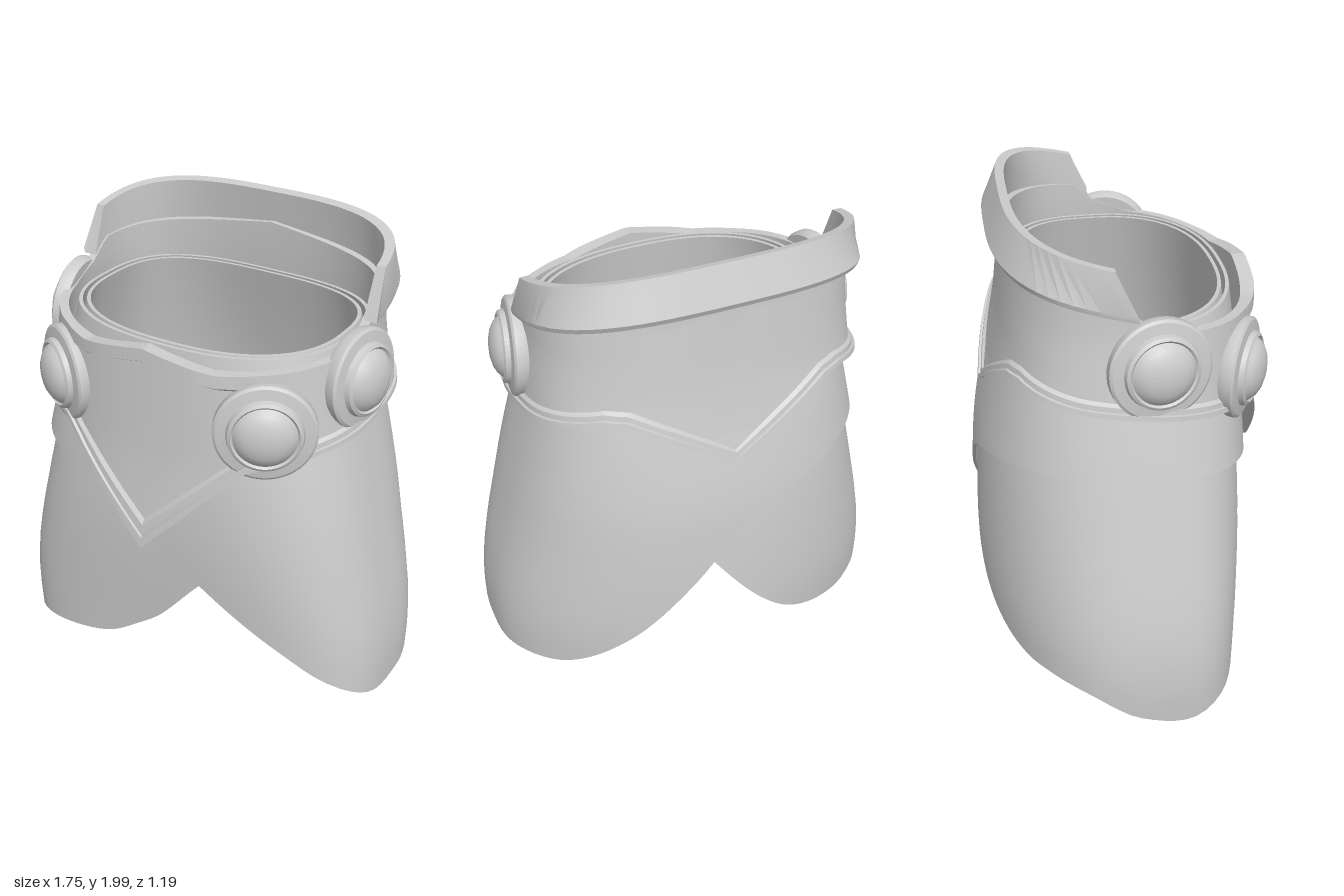
import * as THREE from 'three';
import { toCreasedNormals } from 'three/addons/utils/BufferGeometryUtils.js';

const material = new THREE.MeshStandardMaterial({ color: 0xcccccc, side: THREE.DoubleSide });
const RAD = Math.PI / 180;

// Lookup through [key, value] pairs, smooth or straight
function table(pairs, smooth = true) {
  const Kind = smooth ? THREE.CubicInterpolant : THREE.LinearInterpolant;
  const it = new Kind(pairs.map(p => p[0]), pairs.map(p => p[1]), 1);
  const lo = pairs[0][0], hi = pairs[pairs.length - 1][0];
  return k => it.evaluate(THREE.MathUtils.clamp(k, lo, hi))[0];
}

// Point on a rounded oval; angle in degrees from +x towards the front
function oval(deg, y, a, front, back, nFront, nBack) {
  const c = Math.cos(deg * RAD), s = Math.sin(deg * RAD);
  const n = s > 0 ? nFront : nBack, b = s > 0 ? front : back;
  const r = (Math.abs(c / a) ** n + Math.abs(s / b) ** n) ** (-1 / n);
  return [r * c, y, r * s];
}

// Skin closed cross-section loops placed round the body
function loft(name, section, from, to, steps, crease = 0.5) {
  const pos = [], index = [];
  let m = 0;
  for (let i = 0; i <= steps; i++) {
    const loop = section(from + (to - from) * i / steps);
    m = loop.length;
    loop.forEach(p => pos.push(...p));
  }
  for (let i = 0; i < steps; i++) for (let j = 0; j < m; j++) {
    const a = i * m + j, b = i * m + (j + 1) % m;
    index.push(a, a + m, b, b, a + m, b + m);
  }
  if (to - from < 360) {
    const e = steps * m;
    for (let j = 1; j < m - 1; j++) index.push(0, j, j + 1, e, e + j + 1, e + j);
  }
  const g = new THREE.BufferGeometry();
  g.setAttribute('position', new THREE.Float32BufferAttribute(pos, 3));
  g.setIndex(index);
  const mesh = new THREE.Mesh(toCreasedNormals(g, crease), material);
  mesh.name = name;
  return mesh;
}

// Skirt body: half width, front and back depth by height
const skirtA = table([[0, .86], [.2, .88], [.4, .87], [.6, .835], [.8, .79], [1, .745], [1.3, .67], [1.65, .58]]);
const skirtF = table([[0, .46], [.2, .47], [.4, .485], [.6, .5], [.8, .51], [1, .51], [1.2, .5], [1.65, .45]]);
const skirtB = table([[0, .55], [.2, .58], [.4, .6], [.6, .6], [.8, .59], [1, .57], [1.2, .53], [1.4, .48], [1.65, .41]]);

// Hem heights by angle of the two crossing wraps
const outerHem = table([[-14, .19], [0, .17], [13, .18], [28, .3], [39, .42], [68, .65], [90, .78], [112, .9], [129, 1],
  [155, 1.07], [180, 1.1], [215, 1.09], [228, 1.06], [270, .87], [289, .65], [310, .4], [330, .23], [346, .19], [360, .17], [373, .18]]);
const innerHem = table([[-40, 1.05], [0, 1.1], [40, .95], [68, .63], [90, .4], [107, .28], [122, .18], [142, .1], [156, .05],
  [167, .005], [180, .05], [193, .16], [205, .2], [217, .21], [244, .32], [260, .47], [280, .73], [295, .95], [320, 1.05], [360, 1.1], [400, .95]]);

function wrap(name, hem, inset) {
  const ROWS = 16, TOP = 1.65;
  const at = (deg, v, thick) => {
    const y = TOP + (hem(deg) - TOP) * v, o = inset * Math.min(y, 1) + thick, k = y / TOP;
    return oval(deg, y, skirtA(y) - o, skirtF(y) - o, skirtB(y) - o, 3.8 - 1.4 * k, 2.05 + .9 * k * k);
  };
  return loft(name, deg => {
    const loop = [];
    for (let j = 0; j <= ROWS; j++) loop.push(at(deg, j / ROWS, 0));
    for (let j = ROWS; j >= 0; j--) loop.push(at(deg, j / ROWS, .014));
    return loop;
  }, 0, 360, 120, .6);
}

// Belt: outline by height, edges by angle away from the front
const beltA = table([[.8, .72], [1.2, .705], [1.35, .69], [1.5, .67], [1.65, .65], [1.9, .645]], false);
const beltF = table([[.8, .585], [1.2, .545], [1.6, .53], [1.9, .52]], false);
const beltB = table([[1.18, .53], [1.5, .465], [1.8, .43], [1.9, .43]], false);
const beltLow = table([[0, .82], [39, 1.24], [50, 1.28], [65, 1.31], [90, 1.35], [107, 1.38], [130, 1.43], [138, 1.42], [180, 1.19]], false);
const beltHigh = table([[0, 1.67], [30, 1.62], [50, 1.63], [75, 1.65], [88, 1.7], [97, 1.78], [180, 1.86]], false);

function beltSection(deg) {
  const f = Math.abs(((deg - 90 + 540) % 360) - 180);
  const low = beltLow(f), high = beltHigh(f);
  const frontness = Math.max(0, 1 - f / 45);
  const trim = .05 + .07 * frontness, lip = .02 * Math.min(1, frontness * 2);
  const at = (y, o) => oval(deg, y, beltA(y) + o, beltF(y) + o, beltB(y) + o, 2.4, 2.8);
  const loop = [at(high, lip), at(high - .05, lip), at(high - .06, 0)];
  const start = high - .06, end = low + trim;
  for (let j = 1; j <= 6; j++) loop.push(at(start + (end - start) * j / 6, 0));
  loop.push(at(low + trim * .8, .012), at(low + trim * .4, .012), at(low + trim * .38, .022), at(low, .022));
  for (let j = 0; j <= 6; j++) loop.push(at(low + (high - low) * j / 6, -.035));
  return loop;
}

// Raised back collar with slanted front ends
function collarSection(u) {
  const bottom = 180 + 180 * u, top = 187 + 166 * u;
  const at = (deg, base, slope, a, b) => {
    const p = oval(deg, 0, a, b, b, 3, 3);
    p[1] = base + slope * Math.abs(p[2]);
    return p;
  };
  return [
    at(top, 1.89, .255, .66, .43), at(bottom, 1.74, .25, .68, .49), at(bottom, 1.72, .25, .675, .48),
    at(bottom, 1.72, .25, .62, .42), at(top, 1.89, .255, .625, .395),
  ];
}

// Round boss: flange, ring and dome
function boss(name, position, normal) {
  const profile = [[0, -.04], [.185, -.04], [.195, -.02], [.195, .012], [.185, .02], [.145, .026], [.14, .045], [.128, .052],
    [.12, .044], [.115, .05], [.1, .066], [.075, .08], [.04, .089], [0, .092]];
  const g = new THREE.LatheGeometry(profile.map(p => new THREE.Vector2(...p)), 40);
  const mesh = new THREE.Mesh(toCreasedNormals(g, .5), material);
  mesh.name = name;
  mesh.position.set(...position);
  mesh.quaternion.setFromUnitVectors(new THREE.Vector3(0, 1, 0), new THREE.Vector3(...normal).normalize());
  return mesh;
}

export function createModel() {
  const model = new THREE.Group();
  model.name = 'wrappedSkirtWithBelt';
  model.add(wrap('outerWrap', outerHem, 0), wrap('innerWrap', innerHem, .03));
  model.add(loft('belt', beltSection, 0, 360, 144, .35));
  model.add(loft('backCollar', collarSection, 0, 1, 48));
  for (const s of [1, -1]) {
    const side = s > 0 ? 'left' : 'right';
    model.add(boss(side + 'SideBoss', [s * .665, 1.53, .08], [s * .97, .06, .16]));
    model.add(boss(side + 'FrontBoss', [s * .46, 1.405, .435], [s * .5, 0, .86]));
  }
  return model;
}
